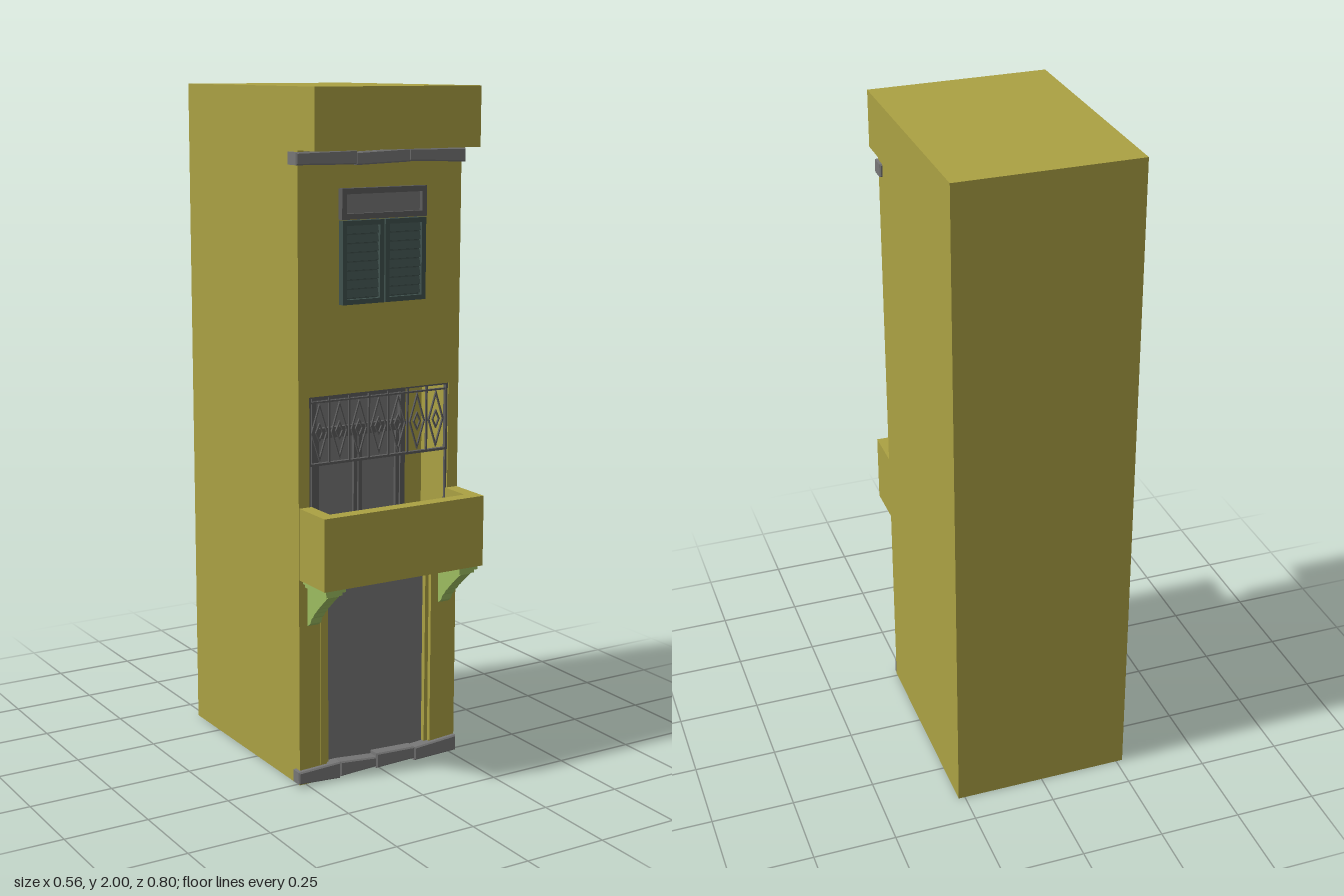
import * as THREE from 'three';

const mat = (color) => new THREE.MeshStandardMaterial({ color, side: THREE.DoubleSide });
const plaster = mat(0xaba143), stone = mat(0x777777), iron = mat(0x5c5c5c);
const teal = mat(0x40524e), green = mat(0x9cbc60);

export function createModel() {
  const model = new THREE.Group();

  const group = (name, parent = model) => {
    const g = new THREE.Group();
    g.name = name;
    parent.add(g);
    return g;
  };
  const add = (name, geo, material, parent = model) => {
    const m = new THREE.Mesh(geo, material);
    m.name = name;
    parent.add(m);
    return m;
  };
  // Box given by its limits on each axis
  const box = (name, x0, x1, y0, y1, z0, z1, material, parent) => {
    const m = add(name, new THREE.BoxGeometry(x1 - x0, y1 - y0, z1 - z0), material, parent);
    m.position.set((x0 + x1) / 2, (y0 + y1) / 2, (z0 + z1) / 2);
    return m;
  };
  const polygon = (pts, Type = THREE.Shape) => new Type(pts.map(([x, y]) => new THREE.Vector2(x, y)));
  const rect = (x0, x1, y0, y1) => [[x0, y0], [x1, y0], [x1, y1], [x0, y1]];
  const extrude = (shape, depth) => new THREE.ExtrudeGeometry(shape, { depth, bevelEnabled: false });
  // Rectangular frame with a border of width b
  const frame = (name, x0, x1, y0, y1, b, z0, z1, material, parent) => {
    const s = polygon(rect(x0, x1, y0, y1));
    s.holes.push(polygon(rect(x0 + b, x1 - b, y0 + b, y1 - b), THREE.Path));
    add(name, extrude(s, z1 - z0), material, parent).position.z = z0;
  };

  // House body: solid rear and a front shell with the doorway and the loggia cut out
  const house = group('house');
  box('houseBody', -0.27, 0.27, 0, 2, -0.4, 0.12, plaster, house);
  const facade = polygon([[-0.27, 0], [-0.18, 0], [-0.18, 0.595], [0.18, 0.595], [0.18, 0],
    [0.27, 0], [0.27, 2], [-0.27, 2]]);
  facade.holes.push(polygon(rect(-0.235, 0.235, 0.645, 1.145), THREE.Path));
  add('facade', extrude(facade, 0.14), plaster, house).position.z = 0.12;
  box('roofParapet', -0.27, 0.27, 1.83, 2, 0.26, 0.353, plaster, house);

  // Ground floor doorway
  const doorway = group('doorway');
  box('streetDoor', -0.175, 0.175, 0, 0.57, 0.21, 0.235, stone, doorway);
  frame('doorLining', -0.18, 0.18, 0, 0.595, 0.012, 0.2, 0.25, plaster, doorway);
  box('doorLintel', -0.18, 0.18, 0.57, 0.595, 0.2, 0.255, plaster, doorway);
  const trim = new THREE.Shape();
  trim.moveTo(-0.2, 0.05);
  trim.lineTo(-0.2, 0.59);
  trim.quadraticCurveTo(-0.2, 0.615, -0.175, 0.615);
  trim.lineTo(0.175, 0.615);
  trim.quadraticCurveTo(0.2, 0.615, 0.2, 0.59);
  trim.lineTo(0.2, 0.05);
  trim.lineTo(0.18, 0.05);
  trim.lineTo(0.18, 0.595);
  trim.lineTo(-0.18, 0.595);
  trim.lineTo(-0.18, 0.05);
  add('doorTrim', extrude(trim, 0.005), plaster, doorway).position.z = 0.258;

  // Rows of uneven stones: [left, right, bottom left, bottom right, top left, top right]
  const stoneRow = (name, stones, z0, z1) => {
    const g = group(name);
    for (const [x0, x1, b0, b1, t0, t1] of stones) {
      const geo = new THREE.ExtrudeGeometry(
        polygon([[x0 + 0.004, b0 + 0.004], [x1 - 0.004, b1 + 0.004], [x1 - 0.004, t1 - 0.004], [x0 + 0.004, t0 - 0.004]]),
        { depth: z1 - z0 - 0.008, bevelSize: 0.004, bevelThickness: 0.004, bevelSegments: 1 });
      add('stoneBlock', geo, stone, g).position.z = z0 + 0.004;
    }
  };
  stoneRow('doorStep', [
    [-0.28, -0.14, 0.008, 0, 0.045, 0.05], [-0.14, -0.015, 0.004, 0.01, 0.05, 0.04],
    [-0.015, 0.12, 0.004, 0.008, 0.05, 0.045], [0.12, 0.27, 0, 0.004, 0.042, 0.052],
  ], 0.235, 0.275);
  stoneRow('corniceStones', [
    [-0.28, -0.085, 1.79, 1.787, 1.825, 1.828], [-0.09, 0.09, 1.785, 1.79, 1.822, 1.828],
    [0.085, 0.278, 1.792, 1.785, 1.828, 1.824],
  ], 0.22, 0.272);

  // Balcony trough
  const balcony = group('balcony');
  box('balconyFloor', -0.268, 0.268, 0.62, 0.645, 0.26, 0.4, plaster, balcony);
  box('balconyFront', -0.268, 0.268, 0.62, 0.83, 0.36, 0.4, plaster, balcony);
  for (const s of [-1, 1]) {
    box('balconySide', s * 0.248 - 0.02, s * 0.248 + 0.02, 0.62, 0.83, 0.26, 0.36, plaster, balcony);
  }

  // Stepped brackets carrying the balcony
  const steps = [[0, 0.48]];
  const count = 7;
  for (let i = 0; i < count; i++) {
    const z = 0.115 * ((i + 1) / count), y = 0.485 + 0.115 * (i / count) ** 0.8;
    steps.push([z - 0.008, y], [z, y + 0.006]);
  }
  steps.push([0.115, 0.6], [0, 0.6]);
  for (const s of [-1, 1]) {
    const bracket = group('bracket');
    bracket.position.set(s * 0.225, 0, 0.26);
    const core = add('bracketScroll', extrude(polygon(steps), 0.036), green, bracket);
    core.rotation.y = -Math.PI / 2;
    core.position.x = 0.018;
    box('bracketCap', -0.032, 0.032, 0.608, 0.62, 0, 0.13, green, bracket);
    box('bracketNeck', -0.026, 0.026, 0.597, 0.608, 0, 0.122, green, bracket);
  }

  // Balcony door at the back of the loggia
  const balconyDoor = group('balconyDoor');
  frame('balconyDoorFrame', -0.16, 0.16, 0.645, 1.125, 0.016, 0.12, 0.145, iron, balconyDoor);
  box('doorTransomBar', -0.15, 0.15, 1.005, 1.025, 0.12, 0.143, iron, balconyDoor);
  box('doorTransom', -0.145, 0.145, 1.025, 1.11, 0.118, 0.128, stone, balconyDoor);
  for (const s of [-1, 1]) {
    const c = s * 0.073;
    box('doorLeaf', c - 0.071, c + 0.071, 0.645, 1.005, 0.118, 0.128, stone, balconyDoor);
    frame('doorLeafFrame', c - 0.071, c + 0.071, 0.65, 1.005, 0.012, 0.128, 0.138, iron, balconyDoor);
  }

  // Iron grille across the top of the loggia, with diamond cells
  const grille = group('ironGrille');
  frame('grilleFrame', -0.235, 0.235, 0.945, 1.147, 0.007, 0.245, 0.257, iron, grille);
  box('grilleRail', -0.23, 0.23, 1.125, 1.13, 0.247, 0.255, iron, grille);
  const rhombus = (w, h) => [[-w, 0], [0, -h], [w, 0], [0, h]];
  const diamond = (name, w, h, t, x) => {
    const s = polygon(rhombus(w, h));
    s.holes.push(polygon(rhombus(w - t, h - t * h / w), THREE.Path));
    add(name, extrude(s, 0.006), iron, grille).position.set(x, 1.04, 0.248);
  };
  const cells = 7, pitch = 0.46 / cells;
  for (let i = 0; i < cells; i++) {
    const x = -0.23 + pitch * (i + 0.5);
    diamond('grilleDiamond', 0.027, 0.084, 0.004, x);
    diamond('grilleInnerDiamond', 0.013, 0.028, 0.004, x);
    if (i) box('grilleBar', x - pitch / 2 - 0.0025, x - pitch / 2 + 0.0025, 0.95, 1.14, 0.248, 0.254, iron, grille);
  }
  for (const s of [-1, 1]) {
    box('grillePost', s * 0.232 - 0.003, s * 0.232 + 0.003, 0.645, 0.95, 0.247, 0.255, iron, grille);
  }

  // Upper window: fanlight over a pair of louvred shutters
  const win = group('upperWindow');
  frame('fanlightFrame', -0.14, 0.14, 1.637, 1.723, 0.016, 0.255, 0.28, iron, win);
  box('fanlightPane', -0.126, 0.126, 1.65, 1.71, 0.255, 0.267, stone, win);
  for (const s of [-1, 1]) {
    const c = s * 0.07;
    frame('shutterFrame', c - 0.068, c + 0.068, 1.4, 1.634, 0.014, 0.255, 0.28, teal, win);
    box('shutterPanel', c - 0.06, c + 0.06, 1.41, 1.625, 0.255, 0.266, teal, win);
    for (let i = 0; i < 8; i++) {
      const y = 1.418 + i * 0.0255;
      const slat = box('shutterSlat', c - 0.055, c + 0.055, y, y + 0.022, 0.267, 0.271, teal, win);
      slat.rotation.x = -0.25;
    }
  }

  return model;
}
